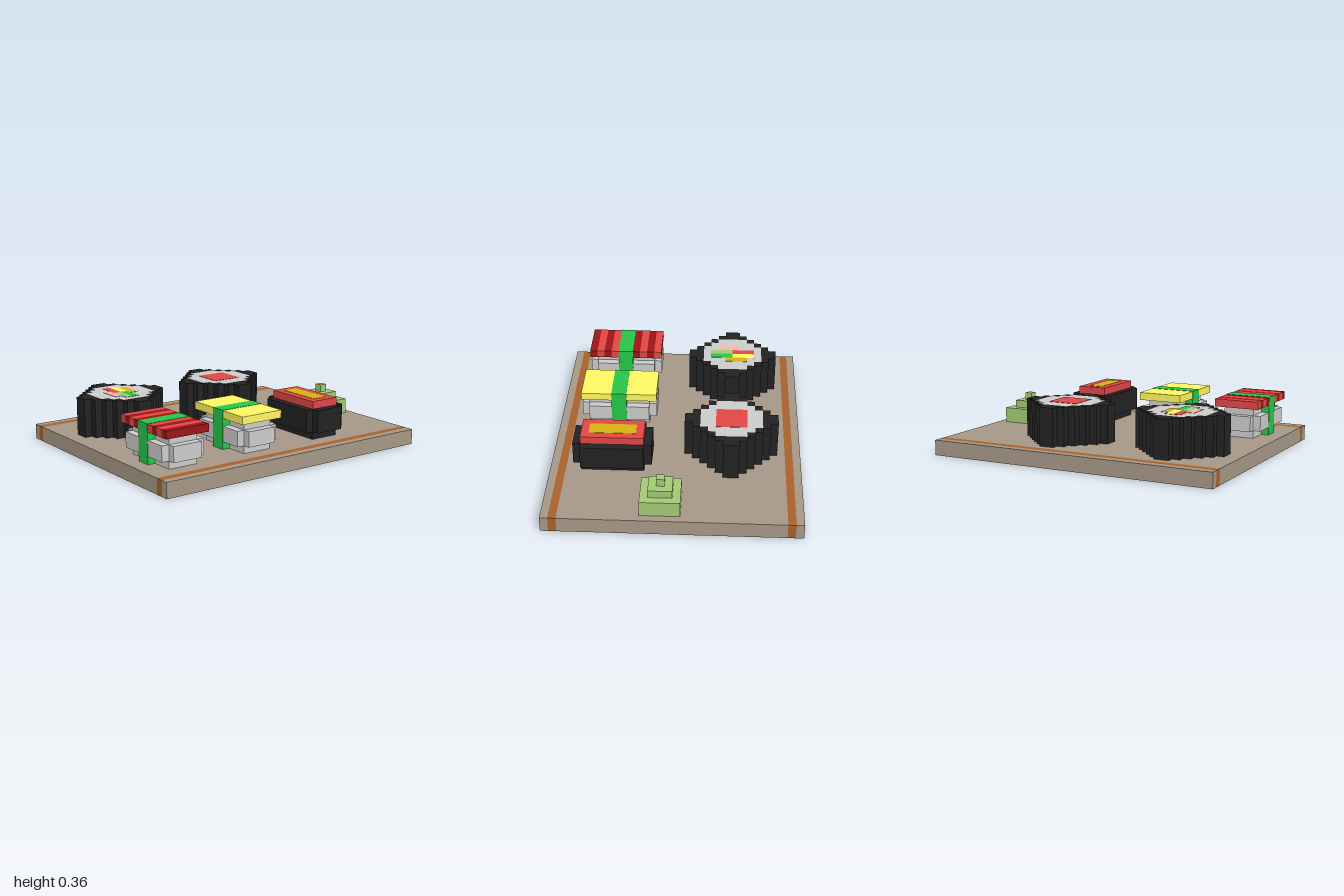
import * as THREE from 'three';

// Everything sits on a block grid: 39 wide (x), 32 deep (z), counted from the back right corner.
const U = 2 / 39;
const EPS = 0.04; // tiny lift for inlays, in blocks
const COLORS = {
  wood: 0xa59786, stripe: 0xa6612c, rice: 0xcccccc, seaweed: 0x222222,
  red: 0xe04646, darkRed: 0x9e1417, green: 0x26c548, yellow: 0xfff761,
  gold: 0xd5b210, pink: 0xf5b4ae, paste: 0xa2ca74,
};
const materials = {};
function mat(key) {
  materials[key] ??= new THREE.MeshStandardMaterial({ color: COLORS[key], flatShading: true });
  return materials[key];
}

function group(parent, name) {
  const g = new THREE.Group();
  g.name = name;
  parent.add(g);
  return g;
}

// Box between two corners given in block units
function box(parent, name, color, [x0, x1], [y0, y1], [z0, z1]) {
  const m = new THREE.Mesh(
    new THREE.BoxGeometry((x1 - x0) * U, (y1 - y0) * U, (z1 - z0) * U), mat(color));
  m.position.set(((x0 + x1) / 2 - 19.5) * U, ((y0 + y1) / 2) * U, ((z0 + z1) / 2 - 16) * U);
  m.name = name;
  parent.add(m);
}

// Stepped outline, one half-width per row of blocks
function steppedPoints(halfWidths) {
  const n = halfWidths.length;
  const side = [];
  halfWidths.forEach((w, i) => {
    side.push([w, i - n / 2], [w, i + 1 - n / 2]);
  });
  const other = side.map(([x, y]) => [-x, y]).reverse();
  return [...side, ...other].map(([x, y]) => new THREE.Vector2(x * U, y * U));
}

// Upright prism of a stepped outline, centred on (cx, cz)
function stepped(parent, name, color, halfWidths, cx, cz, y0, y1, holeWidths) {
  const shape = new THREE.Shape(steppedPoints(halfWidths));
  if (holeWidths) shape.holes.push(new THREE.Path(steppedPoints(holeWidths)));
  const geo = new THREE.ExtrudeGeometry(shape, { depth: (y1 - y0) * U, bevelEnabled: false });
  geo.rotateX(-Math.PI / 2);
  const m = new THREE.Mesh(geo, mat(color));
  m.position.set((cx - 19.5) * U, y0 * U, (cz - 16) * U);
  m.name = name;
  parent.add(m);
}

// Tray: plank layer with two stripes, on a one-block rim that leaves the underside hollow
function buildBoard(root) {
  const g = group(root, 'board');
  const bands = [['wood', 0, 1], ['stripe', 1, 2], ['wood', 2, 30], ['stripe', 30, 31], ['wood', 31, 32]];
  for (const [color, z0, z1] of bands) {
    const name = color === 'stripe' ? 'boardStripe' : 'boardPlank';
    box(g, name, color, [0, 39], [1, 2], [z0, z1]);
    if (z0 === 0 || z1 === 32) {
      box(g, 'boardRim', color, [0, 39], [0, 1], [z0, z1]);
    } else {
      for (const x of [0, 38]) box(g, 'boardRimSide', color, [x, x + 1], [0, 1], [z0, z1]);
    }
  }
}

// Round roll: seaweed ring, rice core and coloured filling [color, column, row, width, depth]
function buildRoll(root, name, x, z, fillings) {
  const g = group(root, name);
  const core = [2, 3, 4, 4, 4, 4, 3, 2];
  stepped(g, 'seaweedWrap', 'seaweed', [1, 2, 3, 4, 5, 6, 6, 5, 4, 3, 2, 1], x + 6, z + 6, 2, 7, core);
  stepped(g, 'rollRice', 'rice', core, x + 6, z + 6, 2, 7);
  for (const [color, c, r, w, d] of fillings) {
    box(g, 'rollFilling', color, [x + c, x + c + w], [6, 7 + EPS], [z + r, z + r + d]);
  }
}

const MID_LAYER = [2, 3, 3, 3, 3, 3, 3, 3, 3, 2];

// Rice block with a topping in one-block strips, tied by a green band
function buildNigiri(root, name, x, z, stripColors) {
  const g = group(root, name);
  for (const y of [2, 5]) box(g, 'riceLayer', 'rice', [x + 1, x + 5], [y, y + 1], [z + 1, z + 9]);
  stepped(g, 'riceMiddle', 'rice', MID_LAYER, x + 3, z + 5, 3, 5);
  for (let i = 0; i < 10; i++) {
    box(g, 'toppingStrip', stripColors[i % 2], [x, x + 6], [6, 7], [z + i, z + i + 1]);
  }
  box(g, 'greenBand', 'green', [x - EPS, x + 6 + EPS], [2, 7 + EPS], [z + 4, z + 6]);
}

// Boat-shaped roll: seaweed cup with a red topping and golden centre
function buildBoatRoll(root, x, z) {
  const g = group(root, 'boatRoll');
  box(g, 'seaweedBase', 'seaweed', [x + 1, x + 5], [2, 3], [z + 1, z + 9]);
  stepped(g, 'seaweedCup', 'seaweed', MID_LAYER, x + 3, z + 5, 3, 6);
  box(g, 'redTopping', 'red', [x + 1, x + 5], [6, 7], [z + 1, z + 9]);
  box(g, 'goldenCentre', 'gold', [x + 2, x + 4], [6, 7 + EPS], [z + 2, z + 8]);
}

// Stepped mound of green paste
function buildPaste(root, x, z) {
  const g = group(root, 'greenPaste');
  [[0, 2, 4], [1, 4, 5], [2, 5, 6]].forEach(([inset, y0, y1]) => {
    box(g, 'pasteStep', 'paste', [x + inset, x + 5 - inset], [y0, y1], [z + inset, z + 5 - inset]);
  });
}

export function createModel() {
  const root = new THREE.Group();
  root.name = 'sushiBoard';
  buildBoard(root);
  buildRoll(root, 'mixedRoll', 2, 3, [
    ['red', 5, 3, 1, 3], ['yellow', 6, 3, 1, 3], ['pink', 4, 5, 1, 3],
    ['gold', 7, 4, 1, 3], ['paste', 5, 6, 1, 3], ['green', 6, 6, 1, 3],
  ]);
  buildRoll(root, 'redRoll', 18, 3, [['red', 4, 4, 4, 4]]);
  buildNigiri(root, 'redNigiri', 2, 19, ['red', 'darkRed']);
  buildNigiri(root, 'yellowNigiri', 13, 19, ['yellow', 'yellow']);
  buildBoatRoll(root, 24, 19);
  buildPaste(root, 33, 15);
  return root;
}
